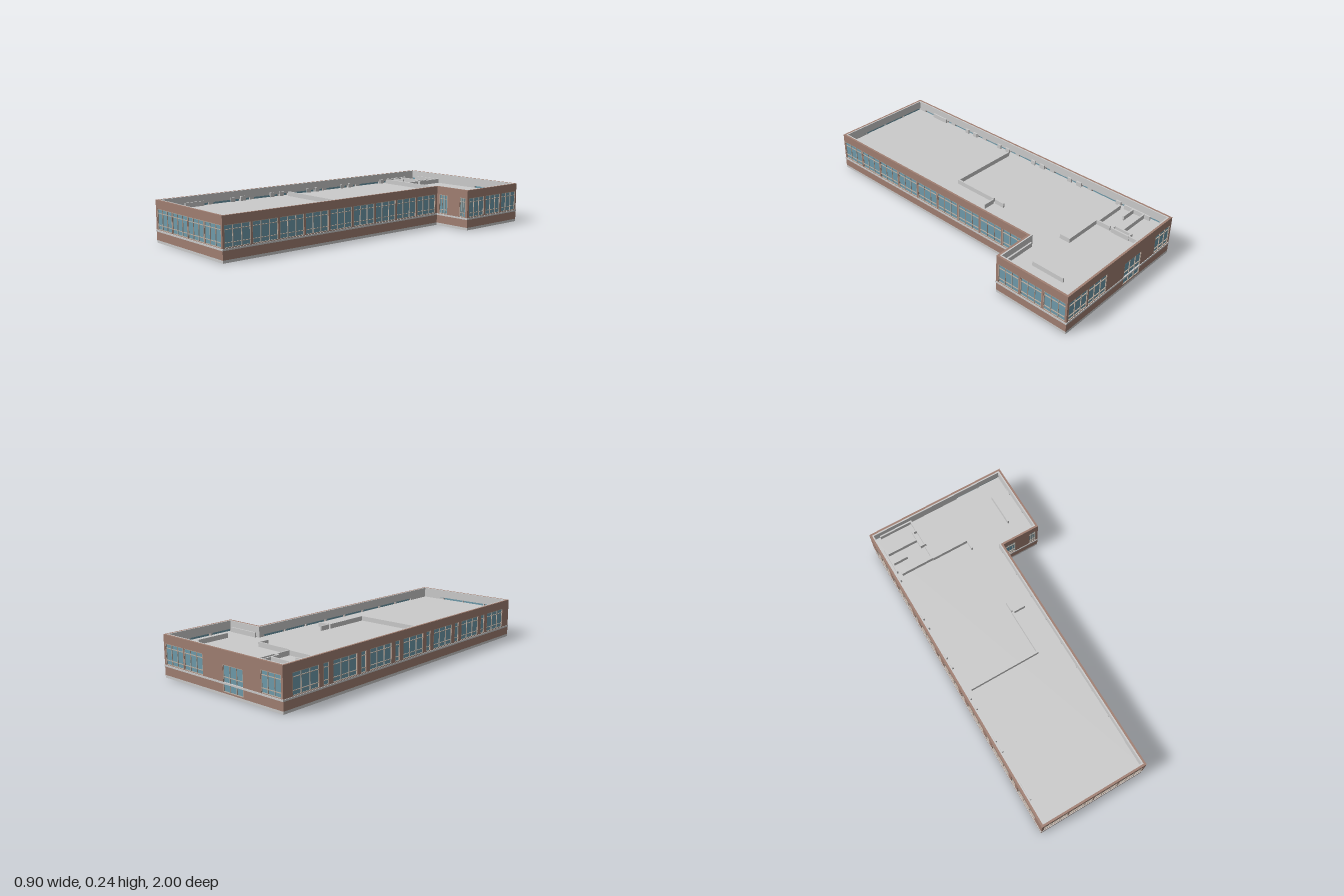
import * as THREE from 'three';

const H = 0.238, T = 0.012, LINING = 0.008, PLINTH = 0.015, ROOF = 0.178;
const X0 = -0.449, X1 = 0.449, XM = 0.21, Z0 = -0.997, Z1 = 0.997, ZM = -0.535;

const paint = (color) => new THREE.MeshStandardMaterial({ color });
const grey = paint(0xcccccc), brick = paint(0xa07f72), glass = paint(0x6f9bab), trim = paint(0xb8aca0);

function rect(Type, x0, y0, x1, y1) {
  const p = new Type();
  p.moveTo(x0, y0); p.lineTo(x1, y0); p.lineTo(x1, y1); p.lineTo(x0, y1);
  p.closePath();
  return p;
}

// L-shaped footprint, grown (or shrunk) by d; drawn in x and -z
function footprint(Type, d) {
  const pts = [[X0 - d, Z1 + d], [XM + d, Z1 + d], [XM + d, ZM + d], [X1 + d, ZM + d], [X1 + d, Z0 - d], [X0 - d, Z0 - d]];
  return new Type(pts.map(([x, z]) => new THREE.Vector2(x, -z)));
}

function extrude(name, shape, depth, material) {
  const mesh = new THREE.Mesh(new THREE.ExtrudeGeometry(shape, { depth, bevelEnabled: false }), material);
  mesh.name = name;
  return mesh;
}

function slab(name, shape, y0, y1, material) {
  const mesh = extrude(name, shape, y1 - y0, material);
  mesh.rotation.x = -Math.PI / 2;
  mesh.position.y = y0;
  return mesh;
}

// Window with a gridded frame in front of a sheet of glass
function makeWindow({ u0, u1, panes, y0, y1 }) {
  const group = new THREE.Group();
  group.name = 'window';
  const frame = rect(THREE.Shape, u0, y0, u1, y1);
  const rows = [y0, ...[0.068, 0.1, 0.166].filter((y) => y > y0 + 0.01 && y < y1 - 0.01), y1];
  const w = (u1 - u0) / panes, m = 0.0015;
  for (let i = 0; i < panes; i++) {
    for (let j = 0; j < rows.length - 1; j++) {
      const left = u0 + w * i + (i ? m : 0.003), right = u0 + w * (i + 1) - (i < panes - 1 ? m : 0.003);
      const low = rows[j] + (j ? m : 0.003), high = rows[j + 1] - (j < rows.length - 2 ? m : 0.003);
      frame.holes.push(rect(THREE.Path, left, low, right, high));
    }
  }
  const bars = extrude('windowFrame', frame, 0.005, trim);
  bars.position.z = -0.006;
  const sheet = extrude('windowGlass', rect(THREE.Shape, u0, y0, u1, y1), 0.002, glass);
  sheet.position.z = -0.008;
  group.add(bars, sheet);
  return group;
}

// Outer wall: brick skin, grey lining and windows; "inner" tells which end is the inside corner
function makeWall({ name, x, z, turn, length, windows, inner }) {
  const group = new THREE.Group();
  group.name = name;
  group.position.set(x, 0, z);
  group.rotation.y = turn;
  const origin = Math.abs(Math.sin(turn)) > 0.5 ? z : x;
  const openings = windows.map(([a, b, panes, y0 = 0.075, y1 = 0.19]) => {
    const ends = [Math.abs(a - origin), Math.abs(b - origin)].sort((p, q) => p - q);
    return { u0: ends[0], u1: ends[1], panes, y0, y1 };
  });
  const layer = (part, outside, inside, depth, offset, material) => {
    const e0 = inner === 'start' ? inside : outside, e1 = inner === 'end' ? inside : outside;
    const shape = rect(THREE.Shape, -e0, PLINTH, length + e1, H);
    openings.forEach((o) => shape.holes.push(rect(THREE.Path, o.u0, o.y0, o.u1, o.y1)));
    const mesh = extrude(part, shape, depth, material);
    mesh.position.z = offset;
    group.add(mesh);
  };
  layer('brickSkin', 0, T, T, -T, brick);
  layer('wallLining', -T, T + LINING, LINING, -T - LINING, grey);
  openings.forEach((o) => group.add(makeWindow(o)));
  return group;
}

// Evenly spaced row of windows
const row = (start, pitch, width, count, panes = 3) =>
  Array.from({ length: count }, (_, i) => [start + pitch * i, start + pitch * i + width, panes]);

export function createModel() {
  const model = new THREE.Group();
  model.name = 'building';

  // Floor and plinth, open under the stairwell
  const floor = footprint(THREE.Shape, 0);
  floor.holes.push(rect(THREE.Path, 0.235, 0.585, 0.425, 0.865));
  model.add(slab('plinth', floor, 0, PLINTH, grey));

  // Projecting sill course
  const sill = footprint(THREE.Shape, 0.003);
  sill.holes.push(footprint(THREE.Path, -0.005));
  model.add(slab('sillCourse', sill, 0.063, 0.073, grey));

  // Sunken roof
  model.add(slab('roof', footprint(THREE.Shape, -0.015), ROOF - 0.01, ROOF, grey));

  // Outer walls
  const q = Math.PI / 2;
  const leftRow = [
    ...row(-0.935, 0.28, 0.18, 7),
    ...row(-0.725, 0.28, 0.04, 6, 1),
  ];
  [
    { name: 'frontWall', x: X0, z: Z1, turn: 0, length: XM - X0, windows: row(-0.434, 0.1595, 0.154, 4) },
    { name: 'longSideWall', x: XM, z: Z1, turn: q, length: Z1 - ZM, windows: row(0.987, -0.1685, -0.158, 9), inner: 'end' },
    { name: 'wingFrontWall', x: XM, z: ZM, turn: 0, length: X1 - XM, windows: [[0.228, 0.293, 3], [0.39, 0.434, 3]], inner: 'start' },
    { name: 'wingSideWall', x: X1, z: ZM, turn: q, length: ZM - Z0, windows: row(-0.55, -0.15, -0.137, 3) },
    {
      name: 'backWall', x: X1, z: Z0, turn: 2 * q, length: X1 - X0,
      windows: [[0.435, 0.288, 3], [0.28, 0.13, 3], [-0.025, -0.173, 3, 0.022, 0.163], [-0.3, -0.437, 3]],
    },
    { name: 'otherLongWall', x: X0, z: Z0, turn: -q, length: Z1 - Z0, windows: leftRow },
  ].forEach((w) => model.add(makeWall(w)));

  // Partition walls rising just above the roof: x0, z0, x1, z1 of the centre line
  const partitions = new THREE.Group();
  partitions.name = 'partitions';
  const addPartition = (x0, z0, x1, z1, t = 0.009) => {
    const top = 0.205;
    const mesh = new THREE.Mesh(new THREE.BoxGeometry(Math.abs(x1 - x0) + t, top - PLINTH, Math.abs(z1 - z0) + t), grey);
    mesh.position.set((x0 + x1) / 2, (top + PLINTH) / 2, (z0 + z1) / 2);
    mesh.name = 'partition';
    partitions.add(mesh);
  };
  [
    [-0.39, -0.972, -0.187, -0.972], [-0.187, -0.972, -0.187, -0.9],
    [-0.212, -0.9, -0.184, -0.9], [-0.212, -0.795, -0.184, -0.795],
    [-0.212, -0.9, -0.212, -0.795], [-0.184, -0.9, -0.184, -0.795],
    [-0.41, -0.845, -0.212, -0.845], [-0.412, -0.88, -0.412, -0.72],
    [-0.41, -0.775, -0.32, -0.775], [-0.385, -0.695, -0.195, -0.695, 0.018],
    [-0.19, -0.775, -0.19, -0.69], [-0.185, -0.687, 0.045, -0.687],
    [0.045, -0.687, 0.045, -0.63], [0.322, -0.865, 0.322, -0.675],
    [0.045, -0.215, 0.045, -0.16], [0.06, -0.147, 0.122, -0.147],
    [0.043, -0.14, 0.043, 0.137], [-0.388, 0.137, 0.043, 0.137],
    [0.215, -0.564, 0.41, -0.564],
  ].forEach((p) => addPartition(...p));

  // Short pier stubs behind the long window wall
  for (let z = -0.67; z < 1; z += 0.28) {
    addPartition(-0.42, z - 0.012, -0.42, z + 0.012);
    if (z < 0.9 && z > -0.6) addPartition(-0.42, z + 0.06, -0.42, z + 0.08);
  }
  addPartition(-0.42, -0.39, -0.42, -0.375);
  addPartition(-0.42, 0.725, -0.42, 0.83);
  model.add(partitions);

  return model;
}
